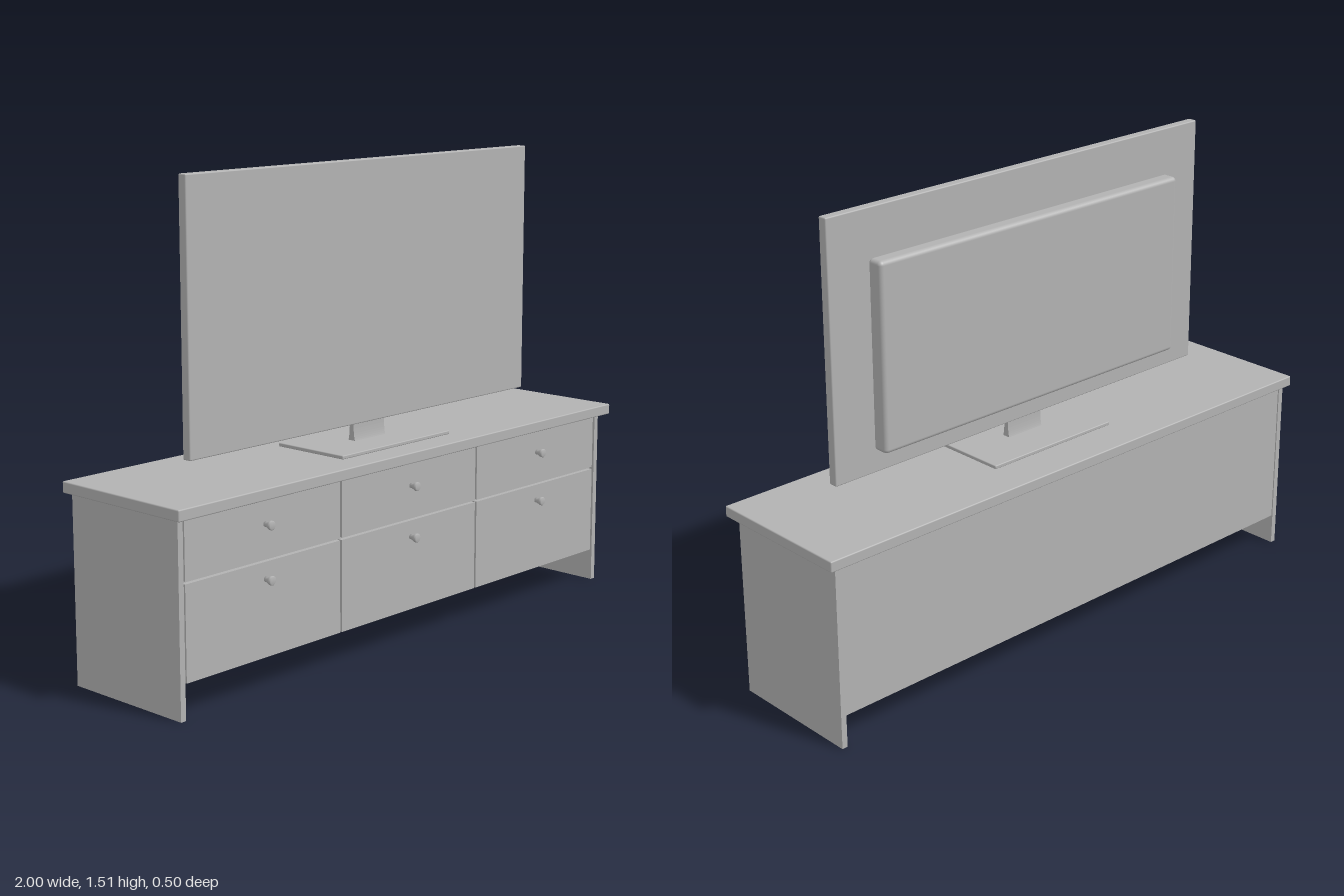
import * as THREE from 'three';
import { RoundedBoxGeometry } from 'three/addons/geometries/RoundedBoxGeometry.js';

export function createModel() {
  const model = new THREE.Group();
  model.name = 'televisionOnCabinet';
  const grey = new THREE.MeshStandardMaterial({ color: 0xb2b2b2 });
  grey.name = 'plain grey';

  function add(parent, name, geometry) {
    const mesh = new THREE.Mesh(geometry, grey);
    mesh.name = name;
    parent.add(mesh);
    return mesh;
  }

  // Box given by its extents; a radius rounds the edges
  function block(parent, name, [x0, x1], [y0, y1], [z0, z1], radius = 0, segments = 2) {
    const size = [x1 - x0, y1 - y0, z1 - z0];
    const geometry = radius
      ? new RoundedBoxGeometry(...size, segments, radius)
      : new THREE.BoxGeometry(...size);
    const mesh = add(parent, name, geometry);
    mesh.position.set((x0 + x1) / 2, (y0 + y1) / 2, (z0 + z1) / 2);
    return mesh;
  }

  // Cabinet shell
  const cabinet = new THREE.Group();
  cabinet.name = 'cabinet';
  model.add(cabinet);
  block(cabinet, 'cabinetTop', [-1, 1], [0.59, 0.625], [-0.25, 0.25], 0.004);
  block(cabinet, 'carcass', [-0.957, 0.957], [0.103, 0.59], [-0.232, 0.2]);
  for (const side of [-1, 1]) {
    const xs = [side * 0.957, side * 0.976].sort((a, b) => a - b);
    block(cabinet, side > 0 ? 'leftSidePanel' : 'rightSidePanel', xs, [0, 0.59], [-0.236, 0.218]);
  }

  // Drawer fronts in three columns and two rows, each with a turned knob
  const knobProfile = [[0, 0], [0.008, 0], [0.008, 0.008], [0.014, 0.022], [0.014, 0.028], [0.011, 0.031], [0, 0.031]]
    .map(([r, y]) => new THREE.Vector2(r, y));
  const knobGeometry = new THREE.LatheGeometry(knobProfile, 20).rotateX(Math.PI / 2);
  const rows = [
    { name: 'lower', y: [0.108, 0.397], knobY: 0.345 },
    { name: 'upper', y: [0.405, 0.588], knobY: 0.51 },
  ];
  for (const column of [-1, 0, 1]) {
    const x = column * 0.636;
    for (const row of rows) {
      block(cabinet, row.name + 'DrawerFront', [x - 0.314, x + 0.314], row.y, [0.198, 0.216]);
      add(cabinet, row.name + 'DrawerKnob', knobGeometry).position.set(x, row.knobY, 0.216);
    }
  }

  // Television stand
  const television = new THREE.Group();
  television.name = 'television';
  model.add(television);
  block(television, 'standPlate', [-0.25, 0.25], [0.625, 0.637], [-0.114, 0.16], 0.003);

  // Neck with a slightly flared foot
  const neck = new THREE.Shape();
  neck.moveTo(-0.014, 0);
  neck.lineTo(0.014, 0);
  neck.quadraticCurveTo(0.008, 0.02, 0.008, 0.056);
  neck.lineTo(-0.008, 0.056);
  neck.quadraticCurveTo(-0.008, 0.02, -0.014, 0);
  const neckGeometry = new THREE.ExtrudeGeometry(neck, { depth: 0.142, bevelEnabled: false, curveSegments: 8 });
  neckGeometry.translate(0, 0, -0.071).rotateY(Math.PI / 2);
  add(television, 'standNeck', neckGeometry).position.set(0, 0.636, 0.03);

  // Flat screen and the rounded housing behind it
  block(television, 'screen', [-0.768, 0.768], [0.69, 1.514], [0.014, 0.045], 0.004);
  block(television, 'rearHousing', [-0.622, 0.622], [0.765, 1.364], [-0.042, 0.015], 0.014, 4);

  return model;
}
